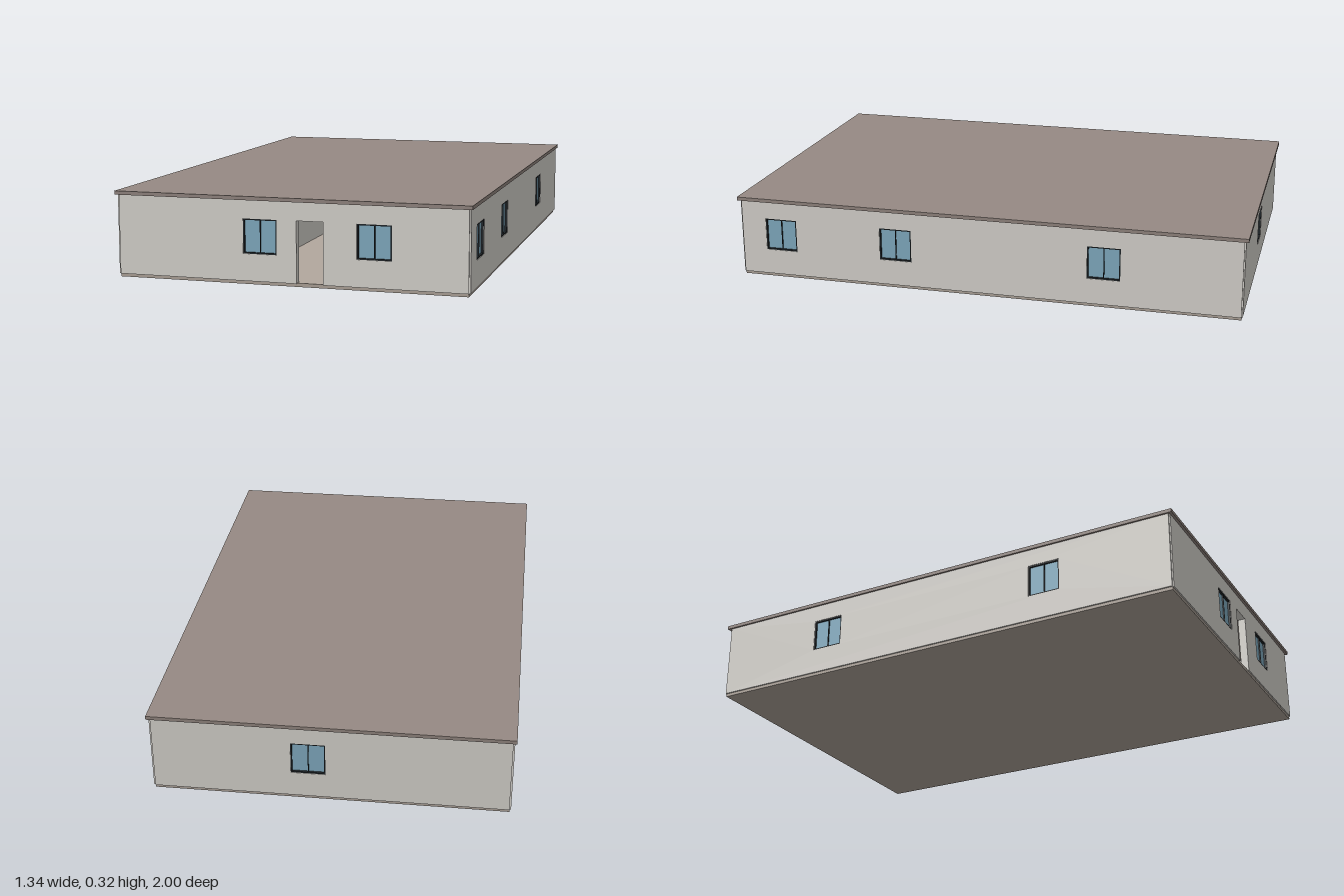
import * as THREE from 'three';

const mat = (color, extra = {}) => new THREE.MeshStandardMaterial({ color, ...extra });
const wallMat = mat(0xdedbd5);
const slabMat = mat(0xb3a89e);
const roofMat = mat(0x978a84);
const frameMat = mat(0x22282c);
const glassMat = mat(0x86b2c8);

const BASE = 0.012, TOP = 0.31, THICK = 0.03;
const SILL = 0.112, HEAD = 0.24, WIN = 0.128;

function box(name, w, h, d, x, y, z, material) {
  const m = new THREE.Mesh(new THREE.BoxGeometry(w, h, d), material);
  m.name = name;
  m.position.set(x, y, z);
  return m;
}

function rectPath(x0, y0, x1, y1) {
  return new THREE.Path([[x0, y0], [x0, y1], [x1, y1], [x1, y0]].map(p => new THREE.Vector2(...p)));
}

// Two-pane window set back from the wall face (face at z = 0)
function windowUnit(x) {
  const g = new THREE.Group();
  g.name = 'window';
  const h = HEAD - SILL, bar = 0.005, y = (SILL + HEAD) / 2, z = -0.009;
  g.add(box('glass', WIN, h, 0.006, 0, y, z - 0.004, glassMat));
  for (const s of [-1, 1]) {
    g.add(box('frameSide', bar, h, 0.014, s * (WIN - bar) / 2, y, z, frameMat));
    g.add(box('frameRail', WIN, bar, 0.014, 0, y + s * (h - bar) / 2, z, frameMat));
  }
  g.add(box('mullion', 0.003, h, 0.008, 0, y, z, frameMat));
  g.position.x = x;
  return g;
}

// Wall with window openings and an optional doorway, outer face at local z = 0
function wall(name, length, windows, door) {
  const g = new THREE.Group();
  g.name = name;
  const e = length / 2;
  const pts = [[-e, BASE]];
  if (door) pts.push([door[0], BASE], [door[0], HEAD], [door[1], HEAD], [door[1], BASE]);
  pts.push([e, BASE], [e, TOP], [-e, TOP]);
  const shape = new THREE.Shape(pts.map(p => new THREE.Vector2(...p)));
  for (const x of windows) shape.holes.push(rectPath(x - WIN / 2, SILL, x + WIN / 2, HEAD));
  const geo = new THREE.ExtrudeGeometry(shape, { depth: THICK, bevelEnabled: false });
  geo.translate(0, 0, -THICK);
  const m = new THREE.Mesh(geo, wallMat);
  m.name = 'wallPanel';
  g.add(m);
  for (const x of windows) g.add(windowUnit(x));
  return g;
}

export function createModel() {
  const house = new THREE.Group();
  house.name = 'house';

  // Floor slab and flat overhanging roof
  house.add(box('floorSlab', 1.314, 0.014, 1.97, 0, 0.007, 0, slabMat));
  house.add(box('roof', 1.34, 0.014, 2, 0, 0.315, 0, roofMat));

  // Outer walls, stopping short of each other at the corners
  const front = wall('frontWall', 1.314, [-0.108, 0.318], [0.03, 0.13]);
  front.position.z = 0.99;
  const back = wall('backWall', 1.314, [-0.08]);
  back.position.z = -0.99;
  back.rotation.y = Math.PI;
  const left = wall('leftWall', 1.97, [-0.822, -0.35, 0.468]);
  left.position.x = 0.663;
  left.rotation.y = Math.PI / 2;
  const right = wall('rightWall', 1.97, [-0.49, 0.48]);
  right.position.x = -0.663;
  right.rotation.y = -Math.PI / 2;
  house.add(front, back, left, right);

  // Inner partition glimpsed through the doorway
  house.add(box('partition', 0.02, TOP - BASE, 1.93, -0.2, (TOP + BASE) / 2, 0, wallMat));

  return house;
}
